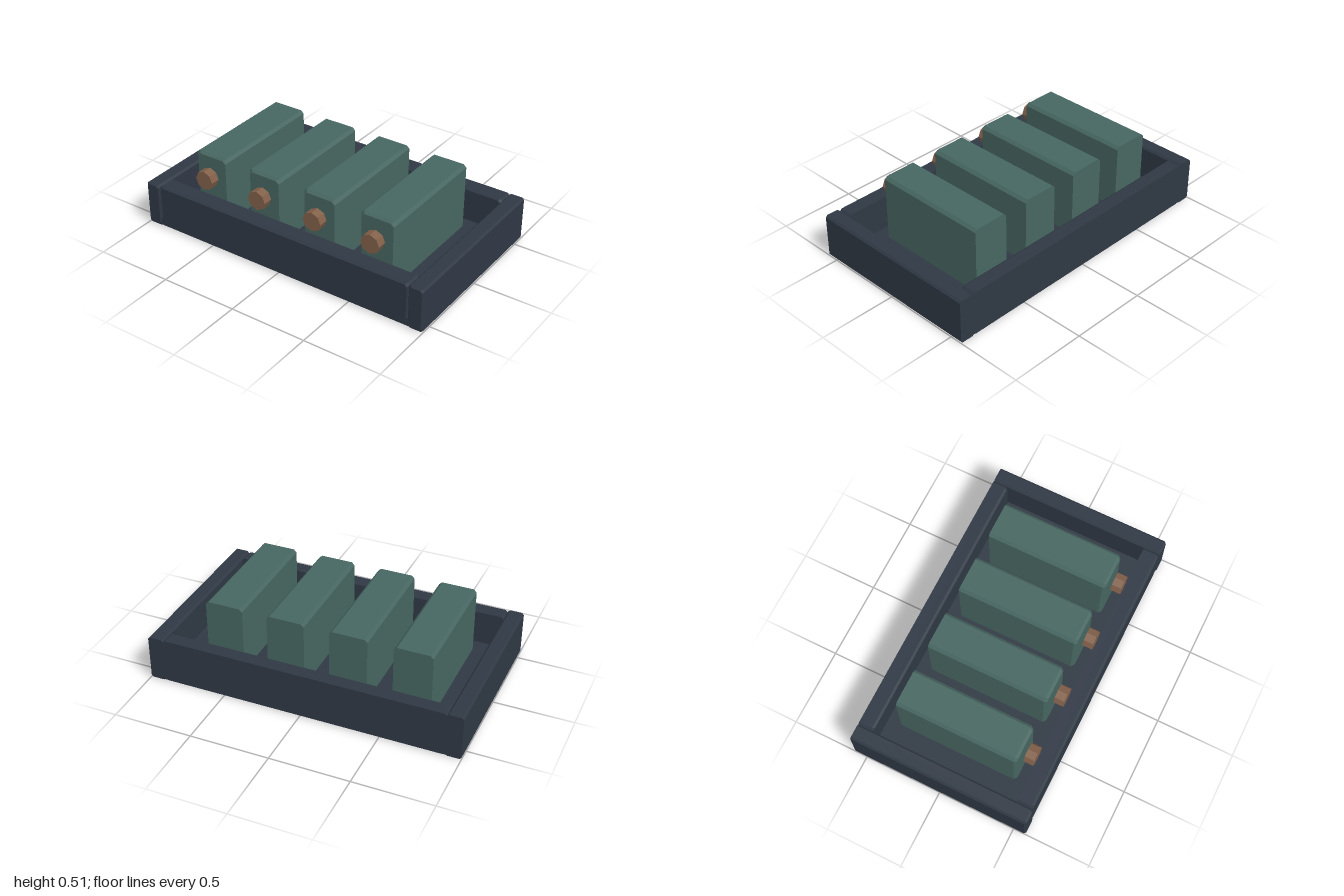
import * as THREE from 'three';

const mat = (name, color) => {
  const m = new THREE.MeshStandardMaterial({ color, flatShading: true });
  m.name = name;
  return m;
};

// Box with chamfered long edges (along z) and a chamfered front; the back stays flat.
function chamferBox(x0, x1, y0, y1, z0, z1, c) {
  const ring = (z, i) => {
    const [l, r, b, t] = [x0 + i, x1 - i, y0 + i, y1 - i];
    return [[l + c, b], [r - c, b], [r, b + c], [r, t - c],
      [r - c, t], [l + c, t], [l, t - c], [l, b + c]].map(([x, y]) => [x, y, z]);
  };
  const rings = [ring(z0, 0), ring(z1 - c, 0), ring(z1, c * 0.8)];
  const pos = [];
  const tri = (a, b, d) => pos.push(...a, ...b, ...d);
  for (let k = 0; k < 2; k++) {
    for (let i = 0; i < 8; i++) {
      const j = (i + 1) % 8, p = rings[k], q = rings[k + 1];
      tri(p[i], p[j], q[j]);
      tri(p[i], q[j], q[i]);
    }
  }
  for (let i = 1; i < 7; i++) {
    tri(rings[0][0], rings[0][i + 1], rings[0][i]);
    tri(rings[2][0], rings[2][i], rings[2][i + 1]);
  }
  const g = new THREE.BufferGeometry();
  g.setAttribute('position', new THREE.Float32BufferAttribute(pos, 3));
  g.computeVertexNormals();
  return g;
}

export function createModel() {
  const model = new THREE.Group();
  model.name = 'cellTray';
  const slate = mat('slate', 0x2f3844);
  const green = mat('greyGreen', 0x476661);
  const copper = mat('copper', 0x82604a);

  const add = (name, geometry, material) => {
    const mesh = new THREE.Mesh(geometry, material);
    mesh.name = name;
    model.add(mesh);
    return mesh;
  };

  // Tray floor and four walls
  add('trayFloor', chamferBox(-0.995, 0.995, 0, 0.07, -0.575, 0.573, 0.01), slate);
  add('frontWall', chamferBox(-0.9, 0.9, 0.003, 0.29, 0.47, 0.575, 0.014), slate);
  add('backWall', chamferBox(-0.9, 0.9, 0.003, 0.29, -0.58, -0.48, 0.014), slate);
  add('rightWall', chamferBox(-1, -0.9, 0, 0.29, -0.58, 0.58, 0.012), slate);
  add('leftWall', chamferBox(0.9, 1, 0, 0.29, -0.58, 0.58, 0.012), slate);

  // Row of cells, each with an eight-sided terminal floating just in front
  const cellGeo = chamferBox(-0.12, 0.12, 0.06, 0.51, -0.39, 0.39, 0.018);
  const knobGeo = new THREE.CylinderGeometry(0.0625, 0.0625, 0.062, 8).rotateX(Math.PI / 2);
  for (let i = 0; i < 4; i++) {
    const x = -0.625 + i * 0.4;
    add('cell' + (i + 1), cellGeo, green).position.x = x;
    add('terminal' + (i + 1), knobGeo, copper).position.set(x, 0.37, 0.439);
  }
  return model;
}
